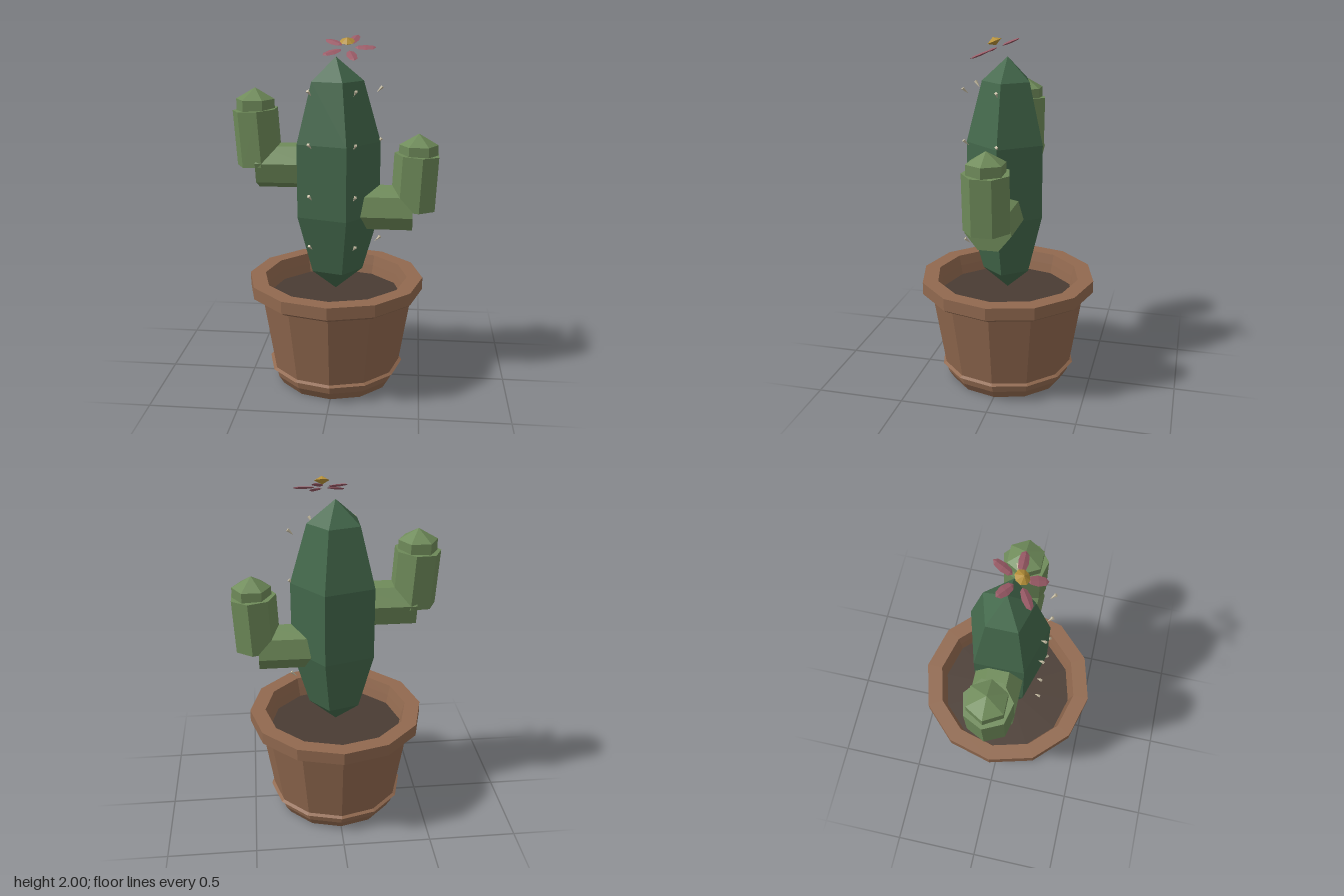
import * as THREE from 'three';

const mat = (color) => new THREE.MeshStandardMaterial({ color, flatShading: true });

export function createModel() {
  const model = new THREE.Group();
  const clay = mat(0x91694f), soilMat = mat(0x4a3c33), bodyMat = mat(0x44694c);
  const armMat = mat(0x6f8b5a), petalMat = mat(0x9c5c68), gold = mat(0xb8923a), spineMat = mat(0xc9bfa5);

  const add = (parent, name, geometry, material, x = 0, y = 0, z = 0) => {
    const mesh = new THREE.Mesh(geometry, material);
    mesh.name = name;
    mesh.position.set(x, y, z);
    parent.add(mesh);
    return mesh;
  };

  // Pot: twelve-sided wall with foot, thin ridge, rim and inner wall
  const profile = [
    [0, 0], [0.335, 0], [0.365, 0.05], [0.373, 0.092], [0.395, 0.1], [0.378, 0.11],
    [0.446, 0.535], [0.475, 0.54], [0.505, 0.56], [0.505, 0.63], [0.415, 0.63], [0.4, 0.57], [0.385, 0.5],
  ].map(([r, y]) => new THREE.Vector2(r, y));
  add(model, 'pot', new THREE.LatheGeometry(profile, 12), clay);
  add(model, 'soil', new THREE.CylinderGeometry(0.39, 0.38, 0.05, 12), soilMat, 0, 0.49, 0);

  // Five-sided trunk, slightly flattened front to back
  const trunk = new THREE.SphereGeometry(1, 5, 5).rotateY(Math.PI).scale(0.263, 0.67, 0.237);
  add(model, 'trunk', trunk, bodyMat, 0, 1.22, 0);

  // Arms: seven-sided stub out of the trunk, upright limb leaning outward, domed tip
  const tube = (length) => new THREE.CylinderGeometry(0.13, 0.13, length, 7).rotateY(-Math.PI / 2);
  const addArm = (name, side, stubY, limbX, limbY, lean, tipX, tipY) => {
    const arm = new THREE.Group();
    arm.name = name;
    add(arm, 'stub', tube(0.32), armMat, side * 0.278, stubY, 0).rotation.z = -side * Math.PI / 2;
    add(arm, 'limb', tube(0.31), armMat, limbX, limbY, 0).rotation.z = -side * lean;
    add(arm, 'tip', new THREE.SphereGeometry(0.125, 6, 3), armMat, tipX, tipY, 0);
    model.add(arm);
  };
  addArm('leftArm', 1, 1.05, 0.45, 1.205, 0.05, 0.462, 1.35);
  addArm('rightArm', -1, 1.283, -0.44, 1.443, 0.065, -0.449, 1.593);

  // Spines: three columns of four, tilted up and outward
  const spines = new THREE.Group();
  spines.name = 'spines';
  const up = new THREE.Vector3(0, 1, 0);
  for (let column = 0; column < 3; column++) {
    const a = column * Math.PI / 3;
    const inward = new THREE.Vector3(-Math.cos(a), -1, -Math.sin(a)).normalize();
    for (let row = 0; row < 4; row++) {
      const spine = add(spines, 'spine', new THREE.ConeGeometry(0.01, 0.045, 4), spineMat,
        0.24 * Math.cos(a), 0.86 + row * 0.285, 0.24 * Math.sin(a) * 0.98);
      spine.quaternion.setFromUnitVectors(up, inward);
    }
  }
  model.add(spines);

  // Flower: five thin pointed petals around a faceted centre, tilted forward
  const flower = new THREE.Group();
  flower.name = 'flower';
  flower.position.set(0.067, 1.942, 0.042);
  flower.rotation.x = 0.4;
  const petal = new THREE.SphereGeometry(1, 4, 4).rotateZ(Math.PI / 2).scale(0.058, 0.007, 0.028).translate(0.097, 0, 0);
  for (let i = 0; i < 5; i++) {
    add(flower, 'petal', petal, petalMat).rotation.y = i * Math.PI * 2 / 5;
  }
  add(flower, 'flowerCentre', new THREE.SphereGeometry(0.041, 8, 2).scale(1, 0.55, 1), gold, 0, 0.036, 0);
  model.add(flower);

  return model;
}
